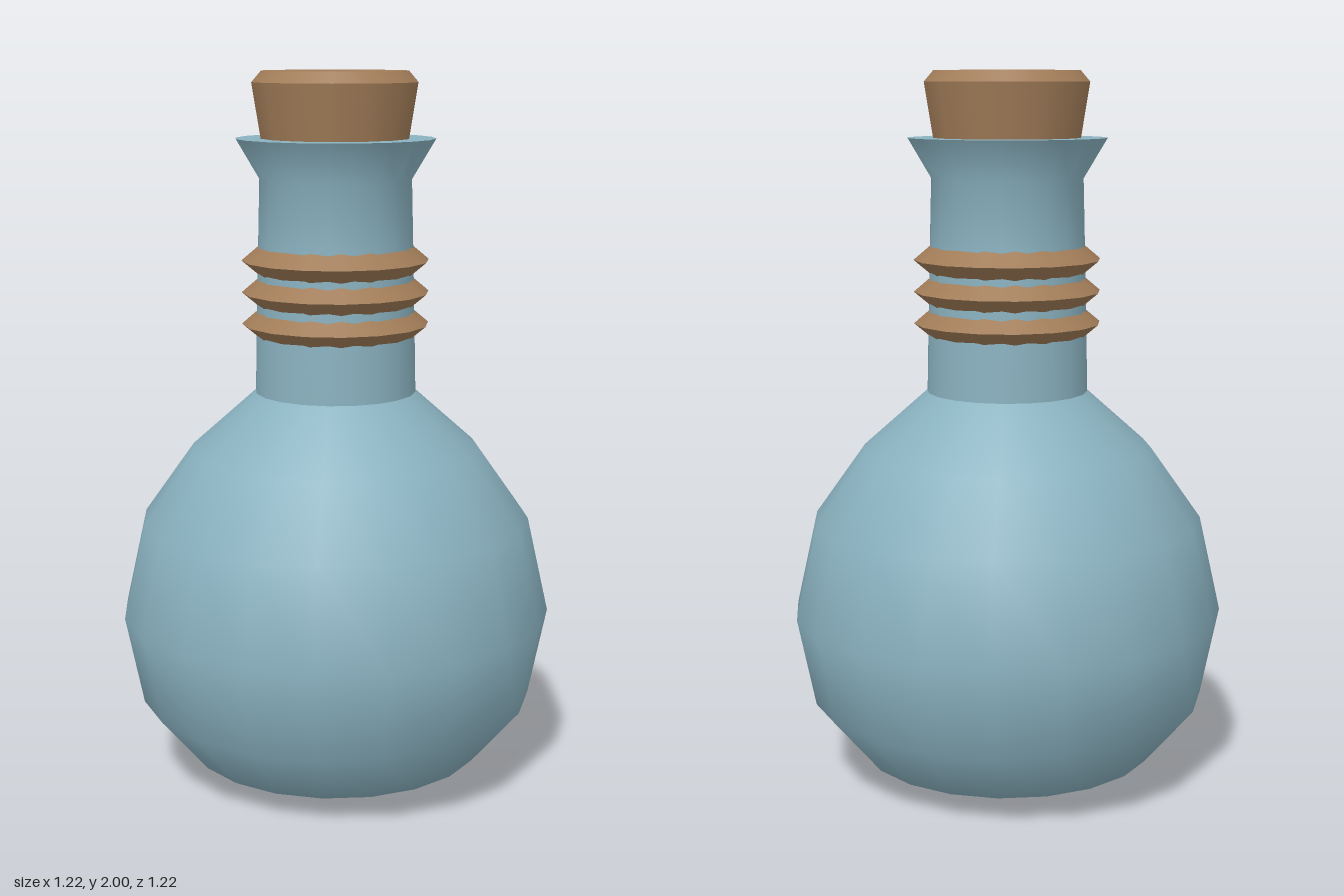
import * as THREE from 'three';

const glass = new THREE.MeshStandardMaterial({ color: 0x8ab2c0 });
glass.name = 'blue glass';
const cork = new THREE.MeshStandardMaterial({ color: 0xa17c58 });
cork.name = 'cork brown';

// Group of lathes: each profile is smooth in itself, with a hard edge where the next one starts
function turned(name, material, sides, phiStart, ...profiles) {
  const group = new THREE.Group();
  group.name = name;
  profiles.forEach((profile, i) => {
    const points = profile.map(([r, y]) => new THREE.Vector2(r, y));
    const mesh = new THREE.Mesh(new THREE.LatheGeometry(points, sides, phiStart), material);
    mesh.name = `${name}Surface${i + 1}`;
    group.add(mesh);
  });
  return group;
}

export function createModel() {
  const model = new THREE.Group();
  model.name = 'corkedFlask';

  // Round body with a small flat base
  model.add(turned('body', glass, 20, 0, [
    [0, 0], [0.24, 0.005], [0.42, 0.075], [0.558, 0.24], [0.608, 0.49],
    [0.547, 0.76], [0.405, 0.96], [0.225, 1.12],
  ]));

  // Neck flaring into the lip, then the flat top of the lip
  model.add(turned('neck', glass, 20, 0,
    [[0.225, 1.12], [0.222, 1.25], [0.215, 1.53], [0.21, 1.71], [0.275, 1.82]],
    [[0.275, 1.82], [0, 1.82]],
  ));

  // Three sharp-edged rings of cord around the neck
  [1.312, 1.4, 1.488].forEach((y, i) => {
    model.add(turned(`cordRing${i + 1}`, cork, 16, 0,
      [[0.21, y - 0.042], [0.26, y]],
      [[0.26, y], [0.21, y + 0.042]],
    ));
  });

  // Tapered stopper with a bevelled top
  model.add(turned('stopper', cork, 14, Math.PI / 2,
    [[0.204, 1.81], [0.23, 1.97]],
    [[0.23, 1.97], [0.204, 2]],
    [[0.204, 2], [0, 2]],
  ));

  return model;
}
